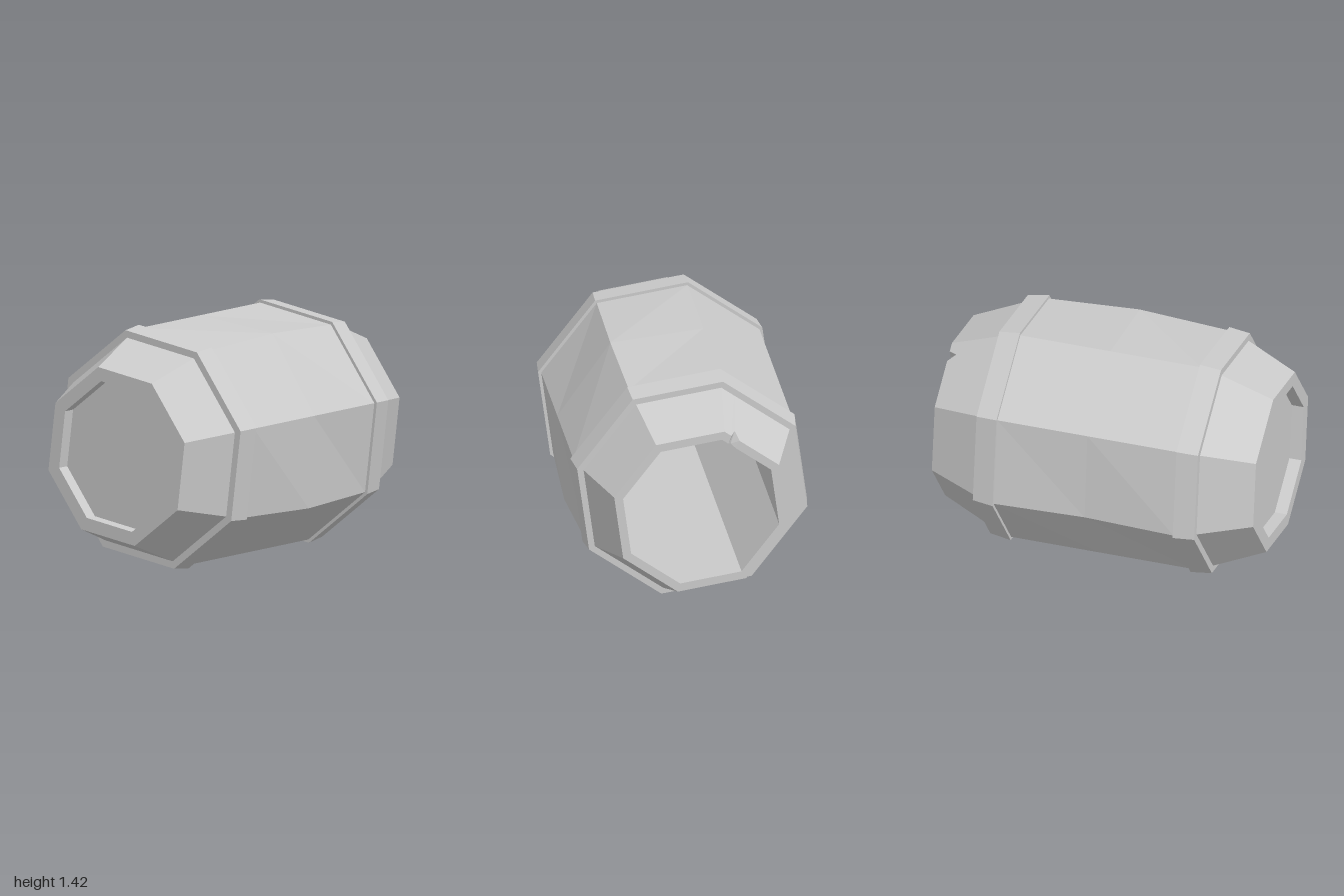
import * as THREE from 'three';

const SIDES = 8, TWIST = Math.PI / 12, CENTRE_Y = 0.71;
// Fractions of a side at which every ring gets a corner; extra ones on one stave carry the chip
const CORNERS = [0, 1, 2, 2.13, 2.19, 2.28, 3, 4, 5, 6, 7];
const CHIP = 4;

// Octagonal ring of points, lying in the xy plane at depth z
function ring(r, z, bulge = {}) {
  const corner = (k) => {
    const a = TWIST + (k % SIDES) * 2 * Math.PI / SIDES;
    const rr = r + (bulge[k % SIDES] || 0);
    return new THREE.Vector3(rr * Math.cos(a), rr * Math.sin(a), z);
  };
  return CORNERS.map((c) => {
    const k = Math.floor(c);
    return corner(k).lerp(corner(k + 1), c - k);
  });
}

// Skin a list of rings with flat quads
function loft(rings) {
  const pos = [];
  const put = (...pts) => pts.forEach((p) => pos.push(p.x, p.y, p.z));
  for (let i = 0; i < rings.length - 1; i++) {
    const p = rings[i], q = rings[i + 1];
    for (let j = 0; j < p.length; j++) {
      const n = (j + 1) % p.length;
      put(p[j], q[j], p[n]);
      put(p[n], q[j], q[n]);
    }
  }
  const g = new THREE.BufferGeometry();
  g.setAttribute('position', new THREE.Float32BufferAttribute(pos, 3));
  g.computeVertexNormals();
  return g;
}

export function createModel() {
  const group = new THREE.Group();
  group.name = 'barrel';
  const mat = new THREE.MeshStandardMaterial({
    color: 0xcccccc, flatShading: true, side: THREE.DoubleSide,
  });
  const add = (name, geometry) => {
    const mesh = new THREE.Mesh(geometry, mat);
    mesh.name = name;
    mesh.position.y = CENTRE_Y;
    group.add(mesh);
    return mesh;
  };

  // Hollow body: front rim, outside staves, back rim, straight inside wall
  const backOuter = ring(0.54, -1), backInner = ring(0.485, -1);
  backOuter[CHIP].multiplyScalar(1.04).setZ(-0.95);
  backInner[CHIP].setZ(-0.975);
  add('staves', loft([
    ring(0.455, 0.92), ring(0.455, 1), ring(0.54, 1),
    ring(0.675, 0.69), ring(0.715, 0.56),
    ring(0.715, 0, { 1: 0.03, 4: -0.02, 7: 0.035 }),
    ring(0.715, -0.56), ring(0.675, -0.69),
    backOuter, backInner, ring(0.485, 0.92), ring(0.455, 0.92),
  ]));

  // Recessed lid closing the front
  add('lid', new THREE.CircleGeometry(0.456, SIDES, TWIST)).position.z = 0.925;

  // Hoops, tapering towards the barrel ends
  add('frontHoop', loft([
    ring(0.65, 0.69), ring(0.72, 0.69), ring(0.735, 0.56), ring(0.7, 0.56),
  ]));
  add('backHoop', loft([
    ring(0.7, -0.56), ring(0.735, -0.56), ring(0.715, -0.69), ring(0.65, -0.69),
  ]));

  return group;
}
